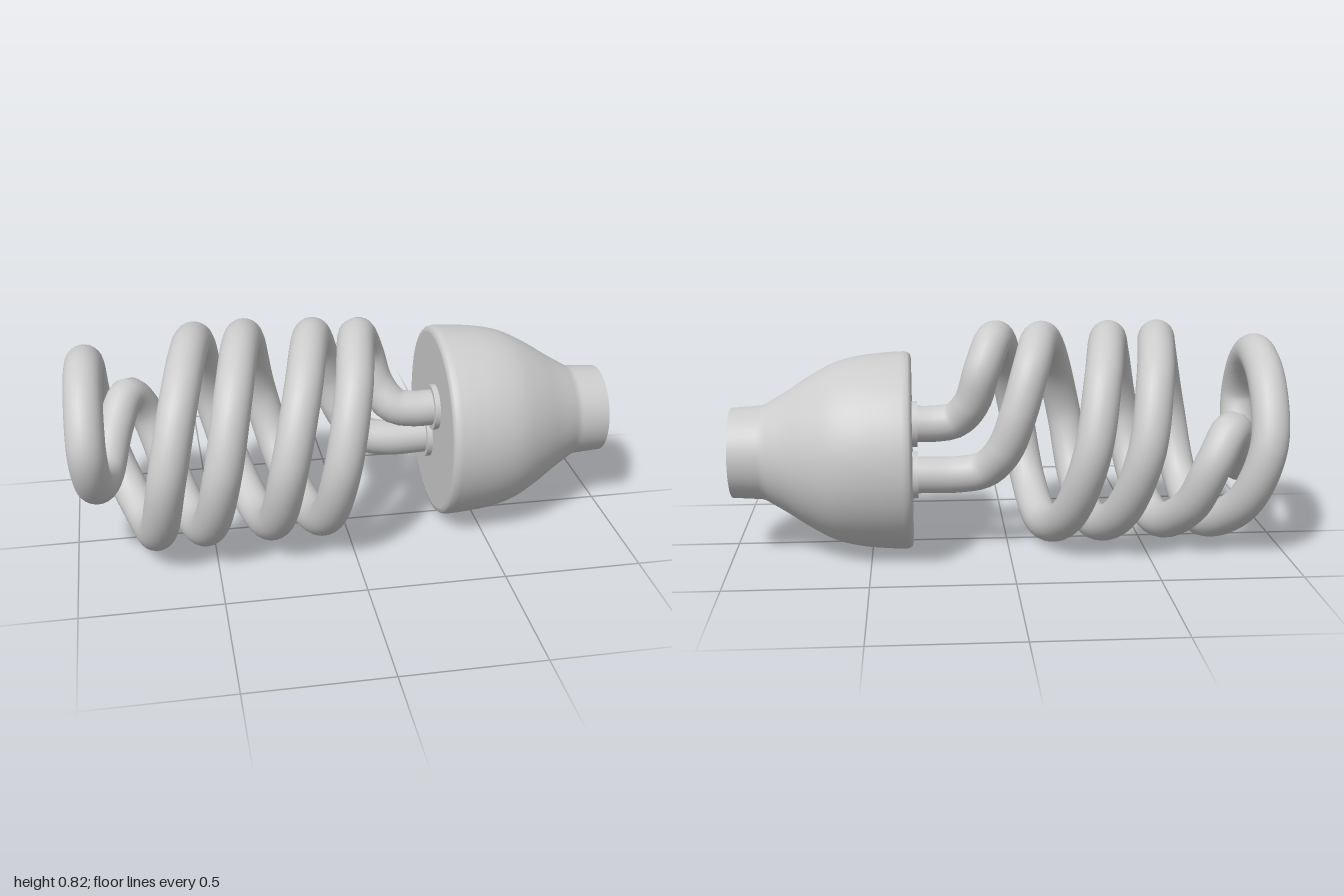
import * as THREE from 'three';

const V = (x, y, z) => new THREE.Vector3(x, y, z);
const TUBE_R = 0.067;                       // glass tube
const COIL_R = 0.345, COIL_Y = 0.413;       // coil centreline
const BASE_Y = 0.367, BASE_Z = -0.058;      // axis of the base
const FACE_X = 0.35;
const LEGS = [{ y: 0.45, z: 0 }, { y: 0.284, z: -0.106 }];

// Points of one strand: quarterX gives x at top, front, bottom, back, top, ...
function strand(quarterX) {
  const points = [];
  const steps = (quarterX.length - 1) * 2;
  for (let i = 0; i <= steps; i++) {
    const q = Math.floor(i / 2);
    const x = i % 2 ? (quarterX[q] + quarterX[q + 1]) / 2 : quarterX[q];
    const a = i * Math.PI / 4;
    points.push(V(x, COIL_Y + COIL_R * Math.cos(a), COIL_R * Math.sin(a)));
  }
  return points;
}

// Surface of revolution about the x axis; profile is [x, radius]
function latheX(profile, segments) {
  const pts = profile.map(([x, r]) => new THREE.Vector2(r, x));
  return new THREE.LatheGeometry(pts, segments).rotateZ(-Math.PI / 2);
}

export function createModel() {
  const group = new THREE.Group();
  const material = new THREE.MeshStandardMaterial({ color: 0xcccccc, side: THREE.DoubleSide });
  const add = (name, geometry, x = 0, y = 0, z = 0) => {
    const mesh = new THREE.Mesh(geometry, material);
    mesh.name = name;
    mesh.position.set(x, y, z);
    group.add(mesh);
  };

  // Glass tube: leg, first strand, end loop, second strand, leg
  const first = strand([0.05, -0.06, -0.14, -0.275, -0.37, -0.48, -0.57]);
  const second = strand([-0.12, -0.25, -0.325, -0.465, -0.55, -0.67, -0.74]).reverse();
  const [legA, legB] = LEGS;
  const path = [
    V(0.345, legA.y, legA.z), V(0.26, legA.y, legA.z), V(0.19, 0.465, -0.01),
    V(0.13, 0.54, -0.05), V(0.095, 0.66, -0.07),
    ...first,
    V(-0.65, 0.19, -0.24), V(-0.715, 0.37, -0.31),
    V(-0.78, 0.47, -0.26), V(-0.835, 0.39, -0.15), V(-0.88, 0.28, 0),
    V(-0.915, 0.33, 0.17), V(-0.93, 0.49, 0.25), V(-0.93, 0.64, 0.16),
    V(-0.925, 0.703, 0), V(-0.92, 0.62, -0.2), V(-0.905, 0.42, -0.315), V(-0.84, 0.2, -0.25),
    ...second,
    V(-0.08, 0.69, -0.14), V(-0.03, 0.53, -0.195), V(0.02, 0.39, -0.175),
    V(0.09, 0.305, -0.125), V(0.18, legB.y, legB.z), V(0.345, legB.y, legB.z),
  ];
  const curve = new THREE.CatmullRomCurve3(path, false, 'centripetal');
  add('spiralTube', new THREE.TubeGeometry(curve, 420, TUBE_R, 24, false));

  // Base housing: rounded rim, swelling body, narrow open neck
  const bell = new THREE.SplineCurve([
    [0.375, 0.36], [0.44, 0.357], [0.54, 0.346], [0.63, 0.322], [0.72, 0.274], [0.8, 0.222], [0.88, 0.174],
  ].map(([x, r]) => new THREE.Vector2(x, r)));
  const profile = [
    [FACE_X, 0.338], [0.353, 0.35], [0.361, 0.357],
    ...bell.getPoints(28).map((p) => [p.x, p.y]),
    [0.895, 0.17], [1, 0.163],
  ];
  add('baseHousing', latheX(profile, 64), 0, BASE_Y, BASE_Z);

  // Front plate with a hole for each leg (shape x becomes -z)
  const plate = new THREE.Shape().absarc(0, 0, 0.338, 0, Math.PI * 2);
  for (const { y, z } of LEGS) {
    plate.holes.push(new THREE.Path().absarc(BASE_Z - z, y - BASE_Y, 0.085, 0, Math.PI * 2, true));
  }
  add('basePlate', new THREE.ShapeGeometry(plate, 32).rotateY(Math.PI / 2), FACE_X, BASE_Y, BASE_Z);

  // Collars around the legs: wall and flat rim
  for (const { y, z } of LEGS) {
    add('legCollar', latheX([[0.33, 0.085], [0.352, 0.085]], 32), 0, y, z);
    add('legCollarRim', new THREE.RingGeometry(TUBE_R, 0.085, 32).rotateY(-Math.PI / 2), 0.33, y, z);
  }
  return group;
}
